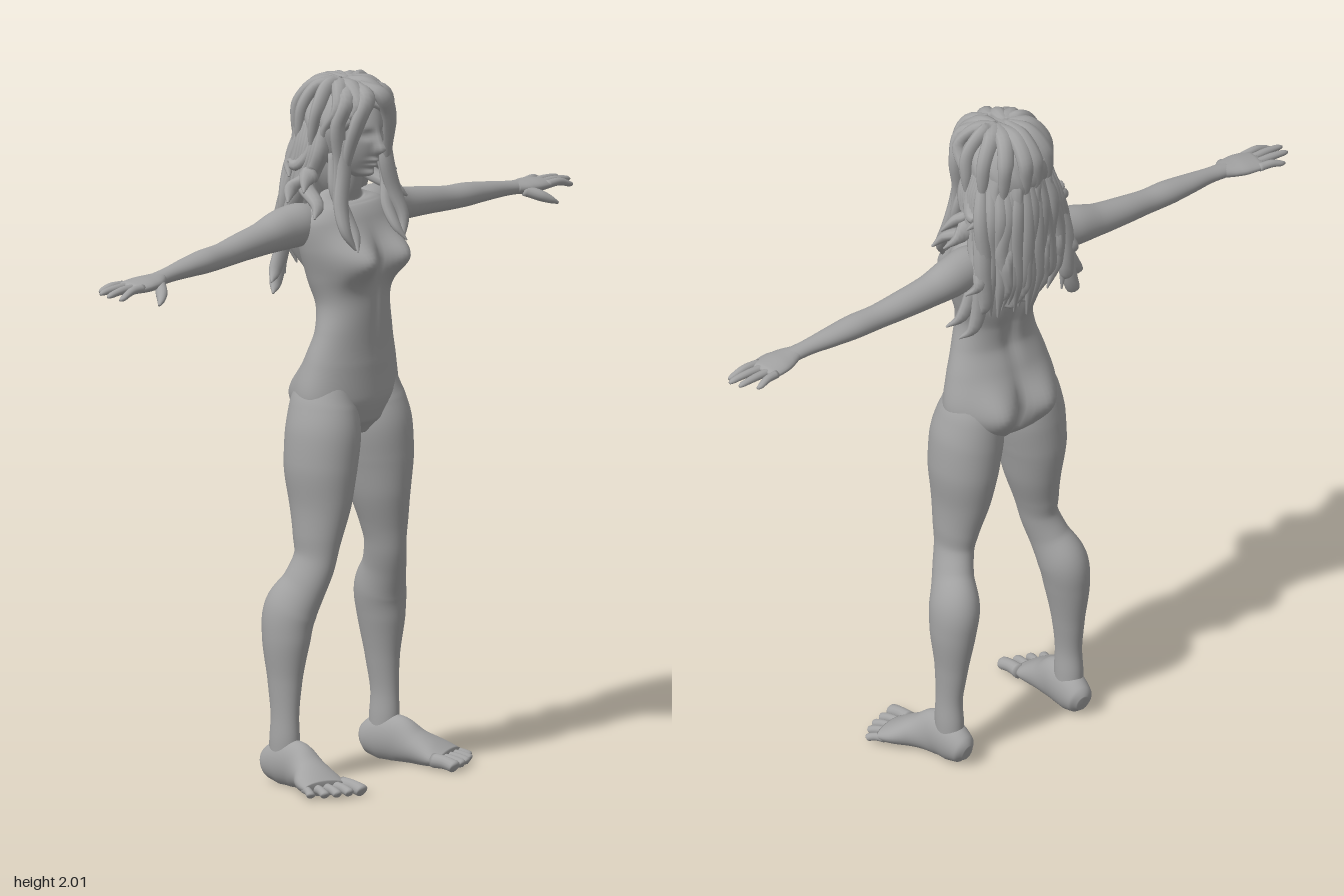
import * as THREE from 'three';

const clay = new THREE.MeshStandardMaterial({ color: 0xa3a3a3 });
clay.name = 'grey clay';

// Smooth closed loft through elliptical sections [x, y, z, a, b]; a lies along ref
function loft(sections, ref, steps = 40, sides = 28) {
  const path = new THREE.CatmullRomCurve3(sections.map(p => new THREE.Vector3(p[0], p[1], p[2])));
  const size = new THREE.CatmullRomCurve3(sections.map(p => new THREE.Vector3(p[3], p[4], 0)));
  const pos = [], index = [];
  for (let i = -1; i <= steps + 1; i++) {
    const k = THREE.MathUtils.clamp(i / steps, 0, 1);
    const c = path.getPoint(k), t = path.getTangent(k), r = size.getPoint(k);
    const u = ref.clone().addScaledVector(t, -ref.dot(t)).normalize();
    const v = t.clone().cross(u);
    const open = i < 0 || i > steps ? 0.001 : 1;
    for (let j = 0; j < sides; j++) {
      const w = j / sides * Math.PI * 2;
      const p = c.clone().addScaledVector(u, Math.cos(w) * r.x * open).addScaledVector(v, Math.sin(w) * r.y * open);
      pos.push(p.x, p.y, p.z);
    }
  }
  for (let i = 0; i < steps + 2; i++) for (let j = 0; j < sides; j++) {
    const a = i * sides + j, b = i * sides + (j + 1) % sides;
    index.push(a, b, a + sides, b, b + sides, a + sides);
  }
  const g = new THREE.BufferGeometry();
  g.setAttribute('position', new THREE.Float32BufferAttribute(pos, 3));
  g.setIndex(index);
  g.computeVertexNormals();
  return g;
}

// Move every vertex by a rule
function sculpt(g, rule) {
  const p = g.attributes.position, v = new THREE.Vector3();
  for (let i = 0; i < p.count; i++) {
    rule(v.fromBufferAttribute(p, i));
    p.setXYZ(i, v.x, v.y, v.z);
  }
  g.computeVertexNormals();
  return g;
}

const bump = (x, y, x0, y0, sx, sy) => Math.exp(-(((x - x0) / sx) ** 2) - ((y - y0) / sy) ** 2);
const mirror = (pts, s) => pts.map(p => [p[0] * s, ...p.slice(1)]);
const X = new THREE.Vector3(1, 0, 0), Z = new THREE.Vector3(0, 0, 1);

export function createModel() {
  const model = new THREE.Group();
  model.name = 'figure';
  const add = (name, g, parent = model) => {
    const m = new THREE.Mesh(g, clay);
    m.name = name;
    parent.add(m);
    return m;
  };

  // Torso and neck: [height, half width, front z, back z]
  const torso = [
    [0.98, 0.04, 0.03, -0.07], [1.02, 0.13, 0.06, -0.11], [1.1, 0.182, 0.075, -0.13], [1.2, 0.162, 0.075, -0.11],
    [1.28, 0.137, 0.075, -0.09], [1.36, 0.121, 0.08, -0.1], [1.44, 0.14, 0.08, -0.125], [1.52, 0.162, 0.075, -0.138],
    [1.59, 0.17, 0.05, -0.14], [1.635, 0.145, 0.02, -0.13], [1.66, 0.085, 0, -0.11], [1.69, 0.052, 0.005, -0.09], [1.78, 0.047, 0.02, -0.08],
  ].map(([y, w, f, b]) => [0, y, (f + b) / 2, w, (f - b) / 2]);
  add('torso', sculpt(loft(torso, X, 110, 72), v => {
    const x = Math.abs(v.x);
    if (v.z > -0.02) {
      const k = Math.min(1, (v.z + 0.02) / 0.05);
      v.z += k * (0.07 * bump(x, v.y, 0.083, 1.495, 0.062, 0.06) - 0.006 * bump(x, v.y, 0, 1.35, 0.012, 0.1));
    } else {
      const k = Math.min(1, (-0.02 - v.z) / 0.04);
      v.z -= k * (0.05 * bump(x, v.y, 0.085, 1.09, 0.065, 0.08) - 0.018 * bump(x, v.y, 0, 1.4, 0.025, 0.16)
        - 0.02 * bump(x, v.y, 0, 1.07, 0.018, 0.07));
    }
  }));

  // Head with brow, nose, lips and chin
  const head = new THREE.SphereGeometry(1, 64, 64);
  add('head', sculpt(head, v => {
    v.set(v.x * 0.078, 1.845 + v.y * 0.13, -0.015 + v.z * 0.1);
    const low = Math.max(0, (1.83 - v.y) / 0.12);
    v.x *= 1 - 0.15 * low;
    if (v.z > -0.01) {
      const x = Math.abs(v.x), f = Math.min(1, (v.z + 0.01) / 0.03);
      v.z += f * (0.026 * bump(x, v.y, 0, 1.806, 0.011, 0.016) + 0.014 * bump(x, v.y, 0, 1.83, 0.009, 0.025)
        - 0.014 * bump(x, v.y, 0.031, 1.85, 0.018, 0.012) + 0.005 * bump(x, v.y, 0.031, 1.85, 0.01, 0.006)
        + 0.016 * bump(x, v.y, 0, 1.774, 0.02, 0.006) + 0.017 * bump(x, v.y, 0, 1.759, 0.017, 0.006)
        + 0.03 * bump(x, v.y, 0, 1.73, 0.025, 0.017));
    }
  }));

  for (const s of [1, -1]) {
    const side = s > 0 ? 'left' : 'right';
    const limb = (name, pts, ref, steps, sides) => add(side + name, loft(mirror(pts, s), ref, steps, sides));

    // Leg
    limb('Leg', [
      [0.09, 1.16, -0.02, 0.06, 0.07], [0.1, 1.08, -0.03, 0.088, 0.1], [0.111, 0.99, -0.025, 0.1, 0.112], [0.122, 0.9, -0.024, 0.094, 0.11],
      [0.128, 0.8, -0.02, 0.077, 0.096], [0.142, 0.71, -0.018, 0.06, 0.077], [0.152, 0.64, -0.02, 0.05, 0.066],
      [0.172, 0.57, -0.04, 0.053, 0.068], [0.195, 0.49, -0.075, 0.066, 0.08], [0.205, 0.41, -0.08, 0.06, 0.073],
      [0.21, 0.3, -0.08, 0.043, 0.054], [0.215, 0.19, -0.076, 0.034, 0.044], [0.215, 0.12, -0.077, 0.037, 0.047], [0.213, 0.05, -0.08, 0.036, 0.045],
    ], X, 90, 40);

    // Foot and toes, flat underneath
    const foot = limb('Foot', [
      [0.208, 0.045, -0.15, 0.018, 0.025], [0.21, 0.05, -0.135, 0.037, 0.045], [0.213, 0.06, -0.09, 0.044, 0.065],
      [0.218, 0.062, -0.03, 0.044, 0.068], [0.232, 0.045, 0.03, 0.055, 0.05], [0.254, 0.03, 0.085, 0.075, 0.034], [0.264, 0.022, 0.12, 0.075, 0.022],
    ], X, 40, 32);
    sculpt(foot.geometry, v => { v.y = Math.max(v.y, 0); });
    [[0.198, 0.12, 0.2, 0.2, 0.021], [0.232, 0.12, 0.243, 0.19, 0.015], [0.262, 0.11, 0.28, 0.177, 0.014],
      [0.29, 0.1, 0.313, 0.158, 0.014], [0.317, 0.085, 0.343, 0.13, 0.013]].forEach(([x0, z0, x1, z1, r], i) => {
      const mx = (x0 + x1) / 2, mz = (z0 + z1) / 2;
      limb('Toe' + (i + 1), [[x0, 0.024, z0, r, r], [mx, 0.023, mz, r * 0.85, r * 0.9],
        [x1 * 0.85 + mx * 0.15, 0.016, z1 * 0.85 + mz * 0.15, r, r * 0.85], [x1, 0.013, z1, r * 0.45, r * 0.5]], X, 14, 14);
    });

    // Arm
    limb('Arm', [
      [0.1, 1.59, -0.07, 0.045, 0.05], [0.16, 1.592, -0.08, 0.056, 0.062], [0.22, 1.587, -0.088, 0.054, 0.059], [0.3, 1.575, -0.09, 0.046, 0.047],
      [0.4, 1.566, -0.088, 0.041, 0.04], [0.49, 1.558, -0.083, 0.036, 0.035], [0.56, 1.556, -0.08, 0.038, 0.034],
      [0.64, 1.552, -0.077, 0.033, 0.028], [0.73, 1.546, -0.072, 0.025, 0.021], [0.79, 1.541, -0.07, 0.027, 0.019],
    ], Z, 60, 32);

    // Hand, fingers and thumb
    limb('Hand', [[0.76, 1.544, -0.07, 0.024, 0.018], [0.8, 1.54, -0.069, 0.042, 0.02], [0.84, 1.538, -0.073, 0.05, 0.02],
      [0.88, 1.536, -0.078, 0.049, 0.016], [0.895, 1.535, -0.08, 0.044, 0.01]], Z, 24, 24);
    [[-0.04, -0.034, 0.975, 1.522], [-0.066, -0.062, 0.995, 1.53], [-0.092, -0.096, 0.987, 1.532], [-0.116, -0.13, 0.95, 1.528]].forEach(([z0, z1, x1, y1], i) => {
      limb('Finger' + (i + 1), [[0.87, 1.537, z0, 0.012, 0.012], [(0.87 + x1) / 2, 1.538, (z0 + z1) / 2, 0.0115, 0.011],
        [x1 - 0.012, y1 + 0.003, z1, 0.009, 0.008], [x1, y1, z1, 0.004, 0.004]], Z, 14, 12);
    });
    limb('Thumb', [[0.785, 1.535, -0.05, 0.016, 0.016], [0.815, 1.52, -0.018, 0.017, 0.016],
      [0.84, 1.506, 0.002, 0.012, 0.011], [0.86, 1.495, 0.012, 0.004, 0.004]], Z, 14, 14);
  }

  // Hair cap, pulled back around the face
  const hair = new THREE.Group();
  hair.name = 'hair';
  model.add(hair);
  add('hairCap', sculpt(new THREE.SphereGeometry(1, 80, 60), v => {
    const wave = 1 + 0.025 * Math.sin(Math.atan2(v.x, v.z) * 14 + v.y * 7) * (1 - v.y * v.y);
    v.set(v.x * 0.123 * wave, 1.865 + v.y * 0.13, -0.047 + v.z * 0.137 * wave);
    const brow = 1.93 - 0.5 * Math.abs(v.x);
    if (v.z > 0 && v.y < brow) v.z *= Math.max(0.1, 1 - (brow - v.y) * 18);
  }), hair);

  // Long hair falling down the back
  add('backHair', sculpt(loft([
    [0, 1.9, -0.09, 0.1, 0.08], [0, 1.8, -0.1, 0.122, 0.08], [0, 1.7, -0.11, 0.135, 0.07],
    [0, 1.6, -0.137, 0.14, 0.05], [0, 1.52, -0.14, 0.115, 0.036], [0, 1.45, -0.13, 0.07, 0.015],
  ], X, 50, 64), v => { v.z += 0.009 * Math.sin(v.x * 95 + v.y * 18 + Math.sin(v.y * 30)); }), hair);

  // Tapering locks
  let seed = 7;
  const rand = () => (seed = (seed * 16807) % 2147483647) / 2147483647;
  const lock = (pts, r) => {
    const n = pts.length - 1;
    const full = pts.map((p, i) => [...p, r * [0.6, 1, 1, 0.75, 0.1][Math.round(i / n * 4)], r * [0.5, 0.7, 0.65, 0.5, 0.1][Math.round(i / n * 4)]]);
    add('lock', loft(full, X, 22, 10), hair);
  };
  for (const s of [1, -1]) {
    const pair = (pts, r) => lock(mirror(pts, s), r);
    // Fringe and face-framing locks
    pair([[0.005, 1.98, 0.01], [0.03, 1.955, 0.068], [0.066, 1.89, 0.066], [0.084, 1.8, 0.045], [0.09, 1.7, 0.035]], 0.027);
    pair([[0.02, 1.98, -0.02], [0.075, 1.95, 0.035], [0.104, 1.88, 0.025], [0.1, 1.78, 0.025], [0.13, 1.66, 0.03]], 0.028);
    pair([[0.09, 1.84, 0.03], [0.093, 1.75, 0.035], [0.115, 1.66, 0.045], [0.125, 1.59, 0.07], [0.1, 1.53, 0.09]], 0.026);
    pair([[0.1, 1.8, 0.0], [0.11, 1.7, 0.02], [0.09, 1.63, 0.04], [0.088, 1.57, 0.075], [0.105, 1.53, 0.1]], 0.022);
    // Flicked side locks
    [[0.2, 1.7, -0.02], [0.222, 1.67, -0.06], [0.2, 1.63, 0.02], [0.17, 1.73, -0.1], [0.2, 1.54, -0.13],
      [0.245, 1.44, -0.1], [0.215, 1.4, -0.12], [0.18, 1.46, -0.13]].forEach(([x, y, z], i) => {
      pair([[0.1, 1.88, -0.03 - i * 0.01], [0.115, 1.8, -0.03 - i * 0.01], [0.125 + 0.003 * i, (1.79 + y) / 2, -0.05 - i * 0.013],
        [x * 0.83, y + 0.03, z - 0.02], [x, y, z]], 0.03);
    });
    // Crown tufts
    for (let i = 0; i < 6; i++) {
      const a = 0.5 + i * 0.5, sx = Math.sin(a), cz = Math.cos(a);
      pair([[0.015, 1.985, -0.04], [0.07 * sx, 1.978, -0.047 + 0.075 * cz], [0.115 * sx, 1.925, -0.047 + 0.125 * cz],
        [0.128 * sx, 1.86, -0.055 + 0.12 * Math.min(cz, 0.3)], [0.13 * sx, 1.79, -0.06 + 0.11 * Math.min(cz, 0.3)]], 0.026);
    }
  }
  // Wavy back locks
  for (let i = 0; i < 15; i++) {
    const k = i / 7 - 1, x = k * 0.13, end = 1.4 + Math.abs(k) * 0.04 + rand() * 0.09;
    const w = () => (rand() - 0.5) * 0.025, d = 0.045 * k * k;
    lock([[x * 0.8, 1.87, -0.16 + d * 1.6], [x + w(), 1.76, -0.175 + d + w() * 0.5], [x * 1.1 + w(), 1.65, -0.178 + d + w() * 0.5],
      [x * 1.1 + w(), 1.54, -0.172 + d * 0.6], [x + w(), end, -0.145]], 0.026);
  }
  return model;
}
